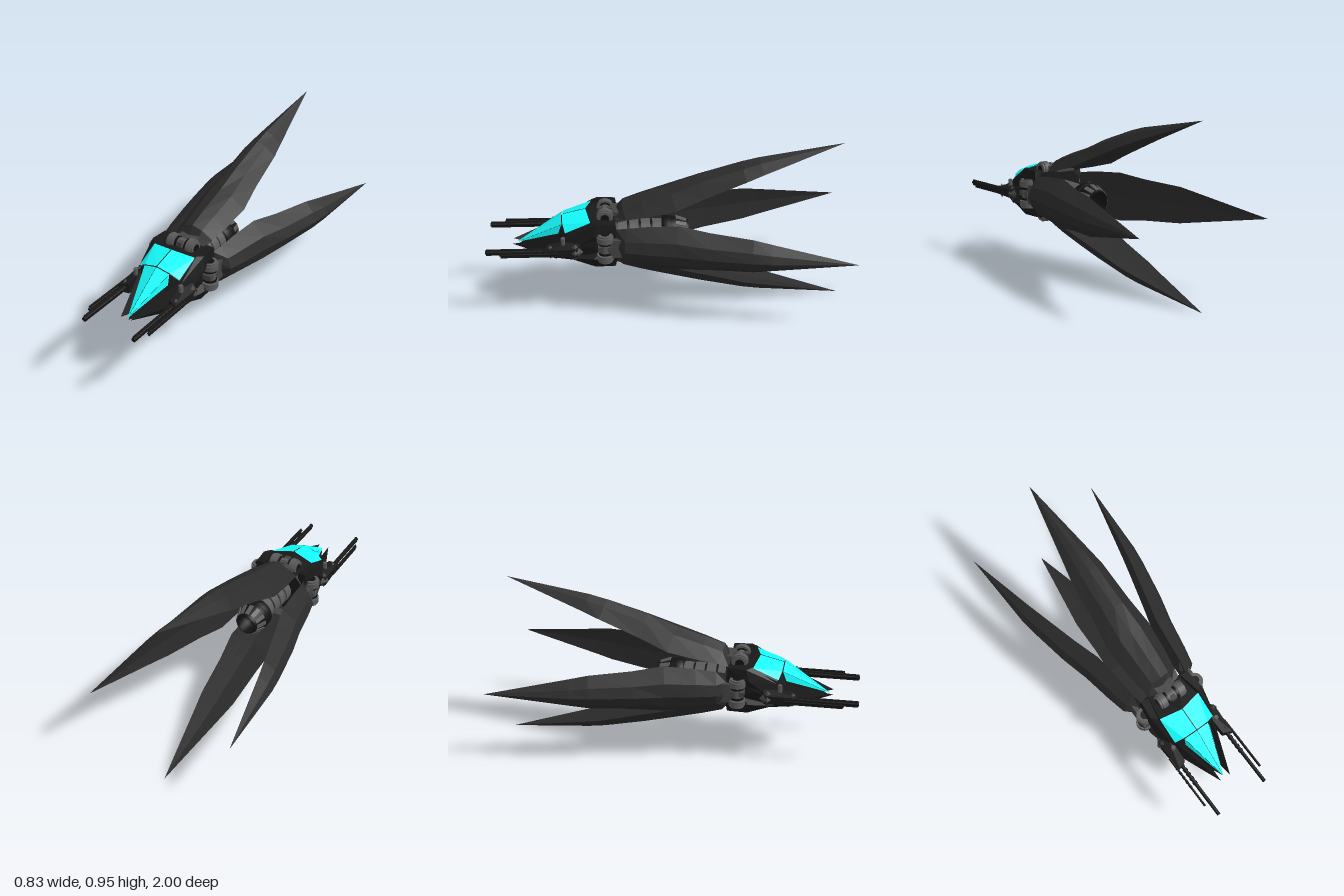
import * as THREE from 'three';
import { ConvexGeometry } from 'three/addons/geometries/ConvexGeometry.js';

const mat = (color, flat = true) =>
  new THREE.MeshStandardMaterial({ color, flatShading: flat, side: THREE.DoubleSide });
const finMat = mat(0x2b2b2b), hullMat = mat(0x191919), darkMat = mat(0x121212, false);
const metalMat = mat(0x5a5a5a, false), plateMat = mat(0x444444), glassMat = mat(0x14ffff);
const AXIS_Y = 0.43;

function add(parent, name, geometry, material, x = 0, y = 0, z = 0) {
  const m = new THREE.Mesh(geometry, material);
  m.name = name;
  m.position.set(x, y, z);
  parent.add(m);
  return m;
}
const rodX = (r, len, n = 20) => new THREE.CylinderGeometry(r, r, len, n).rotateZ(Math.PI / 2);
const rodZ = (r, len, n = 14) => new THREE.CylinderGeometry(r, r, len, n).rotateX(Math.PI / 2);
const hullOf = (pts) => new ConvexGeometry(pts.map((p) => new THREE.Vector3(...p)));
const mirrored = (pts) => pts.flatMap(([x, y, z]) => (x ? [[x, y, z], [-x, y, z]] : [[x, y, z]]));

// Blade lofted along -z: shallow inside, ridged outside
function finGeometry() {
  // distance along blade, half width, ridge height, edge height
  const stations = [[-0.03, 0.1, 0.02, 0], [0.03, 0.11, 0.075, 0], [0.14, 0.124, 0.078, -0.012],
    [0.31, 0.137, 0.075, -0.026], [0.48, 0.116, 0.084, -0.014], [0.72, 0.1, 0.08, -0.002],
    [0.82, 0.082, 0.073, 0], [1.28, 0.0005, 0.001, 0]];
  const rings = stations.map(([s, w, h, e]) => [
    [-w, e], [-0.5 * w, 0.7 * h], [0, h], [0.5 * w, 0.7 * h], [w, e],
    [0.45 * w, e + 0.1 * h], [0, e + 0.18 * h], [-0.45 * w, e + 0.1 * h],
  ].map(([x, y]) => [x, y, -s]));
  const n = 8, pos = [];
  for (let i = 0; i < rings.length - 1; i++) {
    for (let j = 0; j < n; j++) {
      const k = (j + 1) % n, a = rings[i][j], b = rings[i][k], c = rings[i + 1][k], d = rings[i + 1][j];
      pos.push(...a, ...b, ...c, ...a, ...c, ...d);
    }
  }
  // Root cap, fanned from the ridge
  for (let j = 0; j < n; j++) pos.push(...rings[0][2], ...rings[0][(j + 1) % n], ...rings[0][j]);
  const g = new THREE.BufferGeometry();
  g.setAttribute('position', new THREE.Float32BufferAttribute(pos, 3));
  g.computeVertexNormals();
  return g;
}

// Hinge rolling on a pin along x
function addHinge(parent, radius) {
  const hinge = new THREE.Group();
  hinge.name = 'hinge';
  hinge.position.set(0, radius, 0.345);
  parent.add(hinge);
  add(hinge, 'hingePin', rodX(0.032, 0.15), metalMat);
  add(hinge, 'hingeCore', new THREE.BoxGeometry(0.03, 0.06, 0.08), plateMat);
  add(hinge, 'hingeArm', new THREE.BoxGeometry(0.11, 0.024, 0.12), plateMat, 0, 0.012, -0.08);
  for (const s of [-1, 1]) {
    add(hinge, 'hingeBarrel', rodX(0.046, 0.032), metalMat, s * 0.056);
    add(hinge, 'hingeCap', rodX(0.04, 0.01), metalMat, s * 0.078);
    add(hinge, 'hingeBolt', rodX(0.024, 0.012), darkMat, s * 0.079);
    add(hinge, 'hingeSleeve', rodX(0.037, 0.012), darkMat, s * 0.03);
  }
}

// Thin glass pane, shrunk to leave a frame line
function addPane(parent, pts) {
  const v = pts.map((p) => new THREE.Vector3(...p));
  const mid = v.reduce((a, p) => a.add(p), new THREE.Vector3()).divideScalar(v.length);
  v.forEach((p) => p.lerp(mid, 0.035));
  const pos = [];
  for (let i = 1; i < v.length - 1; i++) for (const p of [v[0], v[i], v[i + 1]]) pos.push(p.x, p.y, p.z);
  const g = new THREE.BufferGeometry();
  g.setAttribute('position', new THREE.Float32BufferAttribute(pos, 3));
  g.computeVertexNormals();
  add(parent, 'canopyPane', g, glassMat);
}

function addCannons(parent, s) {
  const pod = new THREE.Group();
  pod.name = 'cannonPod';
  parent.add(pod);
  const y = 0.405;
  add(pod, 'podHousing', hullOf([[0.12, 0.36, 0.46], [0.12, 0.46, 0.46], [0.19, 0.38, 0.5], [0.19, 0.43, 0.5],
    [0.13, 0.375, 0.66], [0.13, 0.435, 0.66], [0.18, 0.385, 0.68], [0.18, 0.425, 0.68]]
    .map(([x, py, z]) => [s * x, py, z])), hullMat);
  // Side and front armour diamonds
  for (const [x, z, size] of [[0.172, 0.51, 0.05], [0.162, 0.645, 0.042]]) {
    add(pod, 'diamondPlate', new THREE.OctahedronGeometry(size), plateMat, s * x, y, z).scale.set(0.58, 1, 0.9);
  }
  add(pod, 'podPivot', new THREE.CylinderGeometry(0.012, 0.012, 0.11, 12), metalMat, s * 0.145, 0.425, 0.575);
  // x, radius, tip z of each barrel
  for (const [x, r, tip] of [[0.155, 0.01, 1], [0.187, 0.006, 0.92]]) {
    const start = 0.6;
    add(pod, 'barrel', rodZ(r, tip - start), darkMat, s * x, y, (tip + start) / 2);
    add(pod, 'barrelRail', new THREE.BoxGeometry(r, 0.034, tip - start - 0.005), hullMat,
      s * x, y, (tip + start) / 2 - 0.0025);
    for (let i = 0; i < 5; i++) {
      add(pod, 'barrelCollar', rodZ(r * 1.3, 0.014), darkMat, s * x, y, 0.67 + i * 0.03);
    }
  }
}

function addEngine(parent) {
  const engine = new THREE.Group();
  engine.name = 'engine';
  engine.position.set(0, AXIS_Y, 0);
  parent.add(engine);
  const lathe = (pts) => new THREE.LatheGeometry(pts.map((p) => new THREE.Vector2(...p)), 32).rotateX(Math.PI / 2);
  add(engine, 'engineCore', rodZ(0.066, 0.32, 24), darkMat, 0, 0, 0.18);
  for (let i = 0; i < 4; i++) {
    add(engine, 'engineSegment', rodZ(0.077 - 0.002 * i, 0.052, 24), metalMat, 0, 0, 0.25 - i * 0.064);
  }
  add(engine, 'nozzleCollar', lathe([[0.066, 0.035], [0.087, 0.025], [0.089, -0.015], [0.08, -0.02]]), darkMat);
  add(engine, 'nozzle', lathe([[0.084, -0.01], [0.084, -0.045], [0.06, -0.115], [0.052, -0.115],
    [0.06, -0.04], [0.001, -0.03]]), darkMat);
  // Petals around the nozzle
  for (let i = 0; i < 12; i++) {
    const spoke = new THREE.Group();
    spoke.rotation.z = (i / 12) * Math.PI * 2;
    engine.add(spoke);
    add(spoke, 'nozzlePetal', new THREE.BoxGeometry(0.023, 0.008, 0.062), metalMat, 0, 0.074, -0.075)
      .rotation.x = -0.33;
  }
}

export function createModel() {
  const model = new THREE.Group();
  model.name = 'starfighter';

  // Four hinged fins: roll, root radius, root z, pitch, hinge radius
  const fin = finGeometry();
  for (const [name, roll, radius, z, pitch, hingeRadius] of [
    ['topFin', 0, 0.122, 0.26, 18.1, 0.13], ['leftFin', -90, 0.157, 0.255, 11.5, 0.17],
    ['bottomFin', 180, 0.121, 0.265, 13.9, 0.13], ['rightFin', 90, 0.157, 0.255, 11.5, 0.17]]) {
    const side = new THREE.Group();
    side.name = name + 'Assembly';
    side.position.y = AXIS_Y;
    side.rotation.z = THREE.MathUtils.degToRad(roll);
    model.add(side);
    add(side, name, fin, finMat, 0, radius, z).rotation.x = THREE.MathUtils.degToRad(pitch);
    addHinge(side, hingeRadius);
  }

  // Hull body and nose
  add(model, 'hull', hullOf(mirrored([[0.1, 0.545, 0.275], [0.14, 0.5, 0.275], [0.14, 0.36, 0.275],
    [0.09, 0.31, 0.275], [0.125, 0.55, 0.42], [0, 0.572, 0.45], [0.122, 0.488, 0.556], [0.072, 0.52, 0.572],
    [0, 0.538, 0.575], [0.155, 0.43, 0.45], [0.11, 0.302, 0.4], [0.14, 0.36, 0.56], [0.09, 0.328, 0.65]])), hullMat);
  add(model, 'nose', hullOf(mirrored([[0.068, 0.52, 0.572], [0, 0.538, 0.575], [0.072, 0.46, 0.59],
    [0.09, 0.33, 0.62], [0.06, 0.335, 0.68], [0, 0.365, 0.835]])), hullMat);
  for (const s of [-1, 1]) {
    const flip = (pts) => pts.map(([x, y, z]) => [s * x, y, z]);
    add(model, 'noseProng', hullOf(flip([[0.15, 0.46, 0.5], [0.15, 0.37, 0.56], [0.1, 0.325, 0.62],
      [0.015, 0.335, 0.68], [0.03, 0.385, 0.86], [0.122, 0.48, 0.56]])), hullMat);
    add(model, 'shoulderPlate', hullOf(flip([[0.11, 0.565, 0.29], [0.135, 0.568, 0.42], [0.165, 0.565, 0.39],
      [0.155, 0.565, 0.29], [0.18, 0.5, 0.41], [0.16, 0.5, 0.28], [0.138, 0.48, 0.56], [0.172, 0.45, 0.48],
      [0.12, 0.47, 0.28]])), hullMat);
    add(model, 'lowerPlate', hullOf(flip([[0.06, 0.3, 0.28], [0.06, 0.297, 0.42], [0.15, 0.297, 0.4],
      [0.145, 0.297, 0.29], [0.178, 0.36, 0.41], [0.16, 0.36, 0.28], [0.14, 0.35, 0.55],
      [0.13, 0.4, 0.35]])), hullMat);
    addCannons(model, s);

    // Canopy half: wraparound band, front pane, narrow side pane
    const A = [0, 0.584, 0.45], B = [s * 0.131, 0.562, 0.42], C = [s * 0.13, 0.498, 0.565];
    const D = [s * 0.08, 0.53, 0.58], E = [0, 0.55, 0.585], F = [0, 0.377, 0.845];
    addPane(model, [B, C, D, E, A]);
    addPane(model, [E, D, F]);
    addPane(model, [D, [s * 0.084, 0.475, 0.6], F]);
  }

  addEngine(model);
  return model;
}
